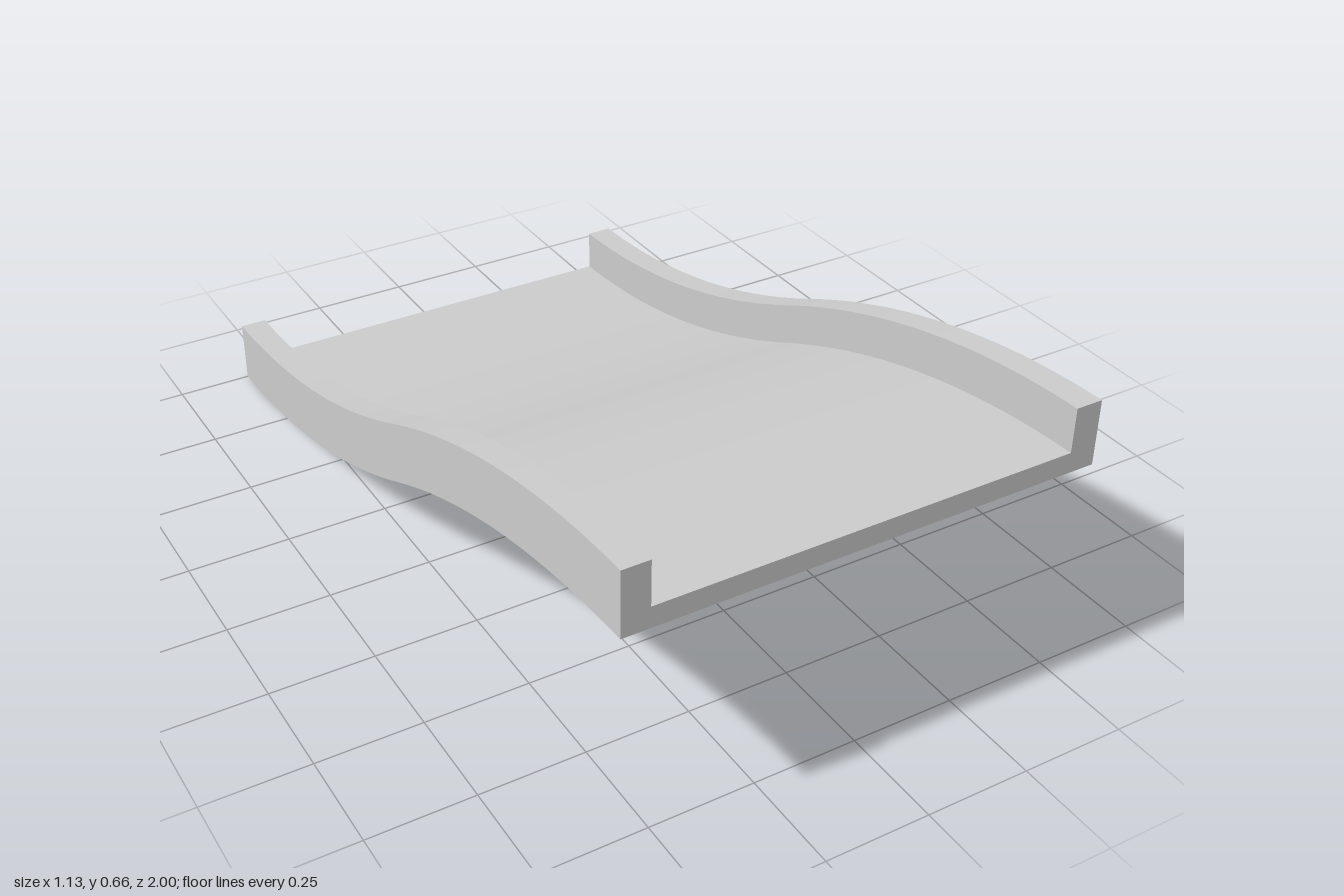
import * as THREE from 'three';
import { toCreasedNormals } from 'three/addons/utils/BufferGeometryUtils.js';

const HALF_WIDTH = 0.565, INNER = 0.5, FLOOR = 0.05, RAIL = 0.157, RISE = 0.502;

// Height of the S-shaped path: two mirrored arcs meeting at z = 0
function pathHeight(z) {
  const d = 1 - Math.abs(z);
  const drop = RISE * (0.05 * d + 0.45 * d * d);
  return z > 0 ? RISE - drop : drop;
}

export function createModel() {
  const group = new THREE.Group();
  group.name = 'slide';

  // U-shaped section: floor with a raised rail on each side
  const section = new THREE.Shape([
    [-HALF_WIDTH, 0], [HALF_WIDTH, 0], [HALF_WIDTH, RAIL], [INNER, RAIL],
    [INNER, FLOOR], [-INNER, FLOOR], [-INNER, RAIL], [-HALF_WIDTH, RAIL],
  ].map(([x, y]) => new THREE.Vector2(x, y)));

  // Straight channel, then lifted along the path so the ends stay vertical
  let geometry = new THREE.ExtrudeGeometry(section, { depth: 2, steps: 48, bevelEnabled: false });
  geometry.translate(0, 0, -1);
  const pos = geometry.attributes.position;
  for (let i = 0; i < pos.count; i++) pos.setY(i, pos.getY(i) + pathHeight(pos.getZ(i)));
  geometry = toCreasedNormals(geometry, 0.5);

  const channel = new THREE.Mesh(geometry, new THREE.MeshStandardMaterial({ color: 0xcccccc }));
  channel.name = 'slideChannel';
  group.add(channel);
  return group;
}
